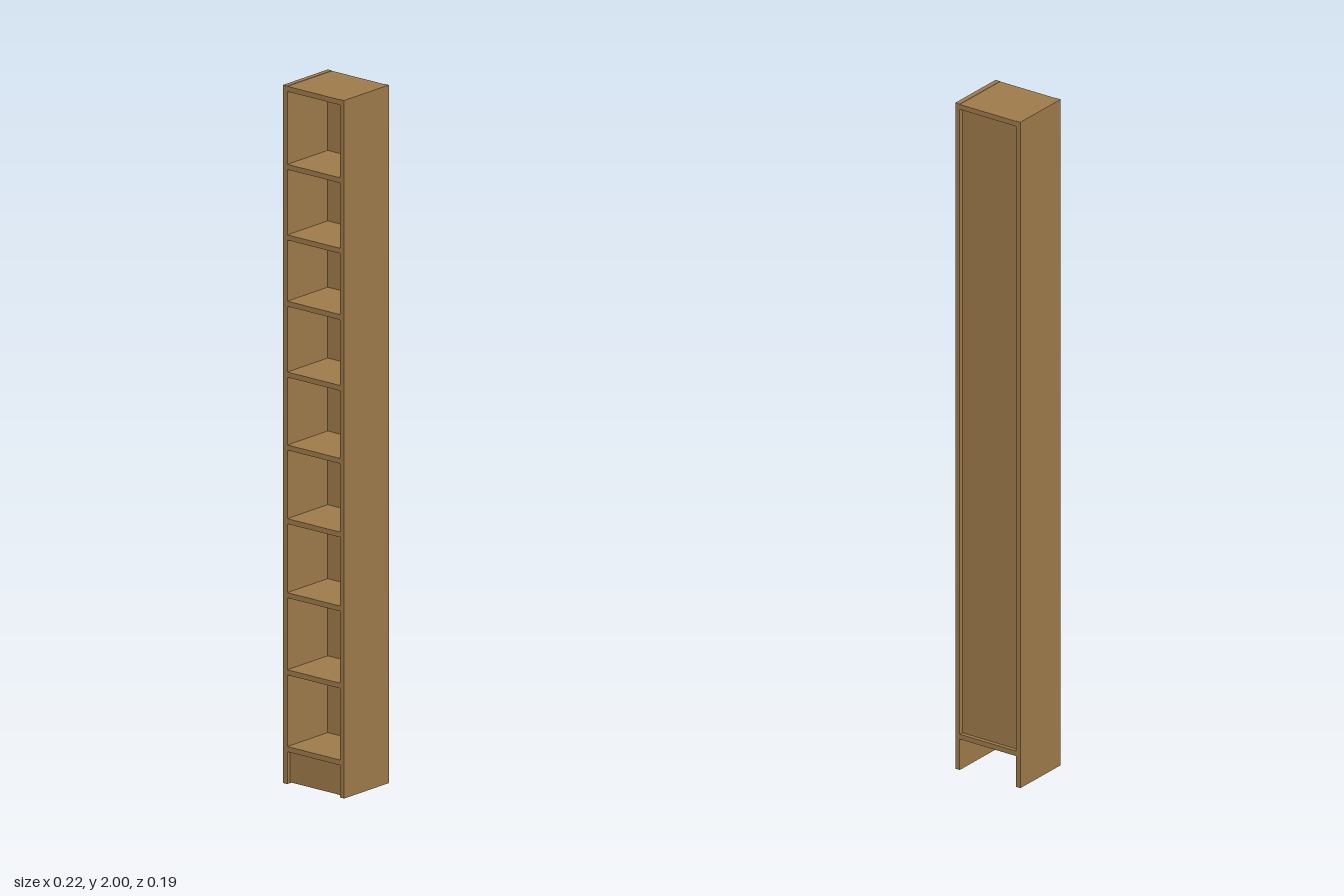
import * as THREE from 'three';

export function createModel() {
  const group = new THREE.Group();
  const wood = new THREE.MeshStandardMaterial({ color: 0x9e7a4a });
  wood.name = 'oak brown';

  const W = 0.22, H = 2, D = 0.188, T = 0.015;
  const inner = W - 2 * T;

  // Adds a board of size w, h, d centred on x, y, z
  function board(name, w, h, d, x, y, z) {
    const mesh = new THREE.Mesh(new THREE.BoxGeometry(w, h, d), wood);
    mesh.name = name;
    mesh.position.set(x, y, z);
    group.add(mesh);
  }

  // Full-height side panels
  for (const s of [-1, 1]) {
    board(s > 0 ? 'leftSide' : 'rightSide', T, H, D, s * (W - T) / 2, H / 2, 0);
  }

  // Top and bottom boards run the whole depth
  board('topPanel', inner, T, D, 0, H - T / 2 - 0.001, 0);
  board('bottomShelf', inner, T, D, 0, 0.1, 0);

  // Thin back panel, set in from the rear edges
  const backZ = -D / 2 + 0.012, backT = 0.006;
  const backLow = 0.1 + T / 2, backHigh = H - T - 0.001;
  board('backPanel', inner, backHigh - backLow, backT, 0, (backLow + backHigh) / 2, backZ + backT / 2);

  // Shelves between the front edge and the back panel
  const shelfBack = backZ + backT;
  const shelfDepth = D / 2 - shelfBack;
  [0.32, 0.541, 0.753, 0.964, 1.173, 1.376, 1.566, 1.768].forEach((y, i) => {
    board(`shelf${i + 1}`, inner, T, shelfDepth, 0, y, shelfBack + shelfDepth / 2);
  });

  // Recessed plinth under the bottom shelf
  const plinthH = 0.1 - T / 2 - 0.003;
  board('plinth', inner, plinthH, T, 0, 0.003 + plinthH / 2, 0.076);

  return group;
}
